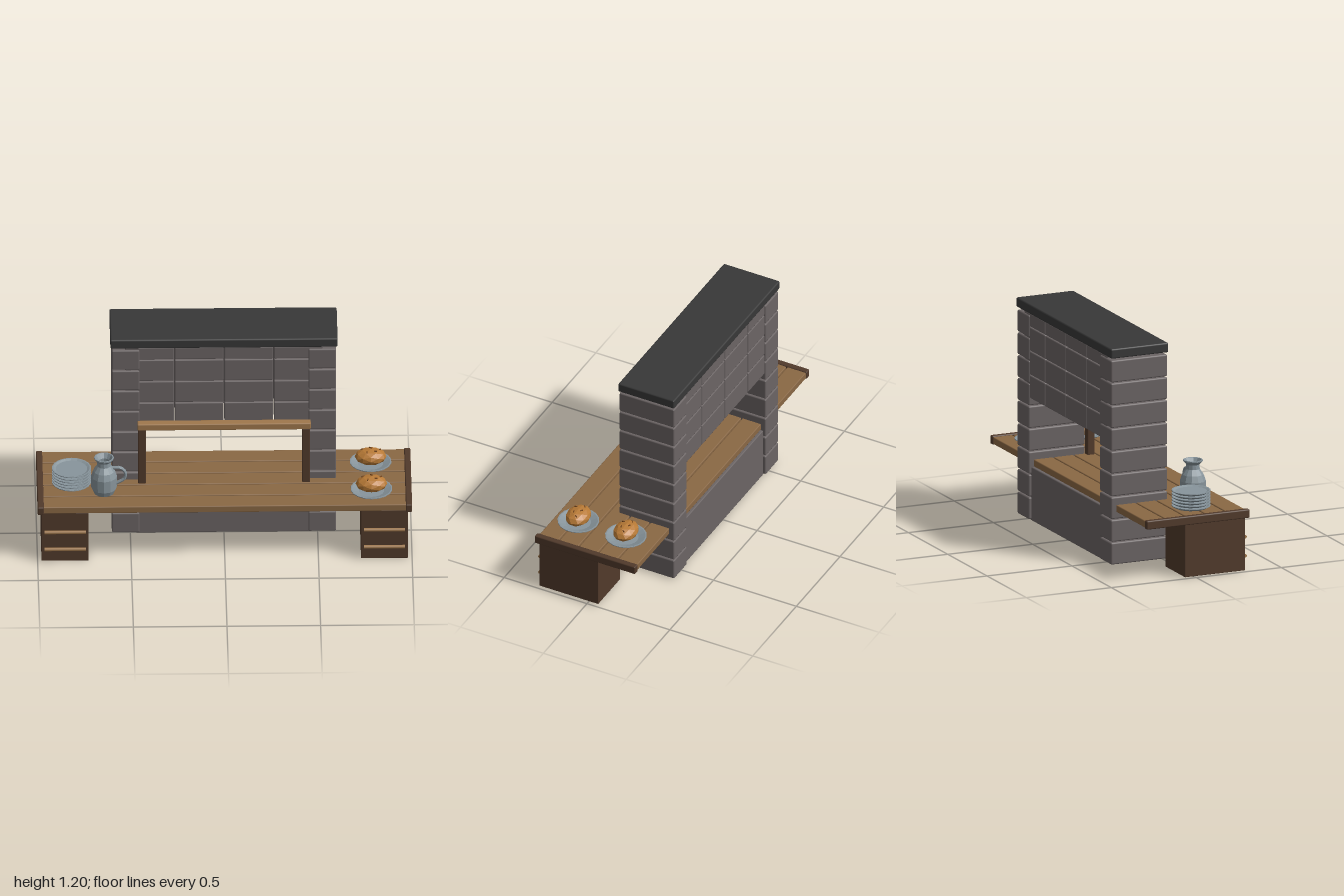
import * as THREE from 'three';
import { RoundedBoxGeometry } from 'three/addons/geometries/RoundedBoxGeometry.js';

const mat = (name, color, extra = {}) => {
  const m = new THREE.MeshStandardMaterial({ color, ...extra });
  m.name = name;
  return m;
};

export function createModel() {
  const stone = mat('grey stone', 0x6b6464);
  const slate = mat('dark slate', 0x383838);
  const plankWood = mat('plank wood', 0x8a6844);
  const beamWood = mat('light beam wood', 0xa0784c);
  const darkWood = mat('dark wood', 0x513a2b);
  const pewter = mat('pewter', 0x88959c, { flatShading: true, side: THREE.DoubleSide });
  const crust = mat('bread crust', 0xb87a36, { flatShading: true });
  const darkCrust = mat('dark crust', 0x7a4a20, { flatShading: true });

  const model = new THREE.Group();
  model.name = 'stoneServingCounter';

  const group = (name) => {
    const g = new THREE.Group();
    g.name = name;
    model.add(g);
    return g;
  };
  const add = (parent, name, geometry, material, x = 0, y = 0, z = 0) => {
    const m = new THREE.Mesh(geometry, material);
    m.name = name;
    m.position.set(x, y, z);
    parent.add(m);
    return m;
  };
  // Box given by its limits, with softened edges
  const block = (parent, name, material, x0, x1, y0, y1, z0, z1, r = 0.006) =>
    add(parent, name, new RoundedBoxGeometry(x1 - x0, y1 - y0, z1 - z0, 1, r), material,
      (x0 + x1) / 2, (y0 + y1) / 2, (z0 + z1) / 2);
  const lathe = (points, sides) =>
    new THREE.LatheGeometry(points.map(([r, y]) => new THREE.Vector2(r, y)), sides);

  // Stone pillars, nine blocks each
  const pillars = group('pillars');
  for (const s of [-1, 1]) {
    for (let i = 0; i < 9; i++) {
      const y = 0.008 + i * 0.1257;
      block(pillars, 'pillarBlock', stone, s * 0.525 - 0.074, s * 0.525 + 0.074, y, y + 0.12, -0.315, 0.017, 0.008);
    }
  }

  // Base, upper brick wall and slate top
  block(model, 'base', stone, -0.47, 0.47, 0, 0.296, -0.298, 0.006);
  const wall = group('upperWall');
  const rows = [0.675, 0.805, 0.937, 1.07, 1.148];
  for (let r = 0; r < 4; r++) {
    for (let c = 0; c < 4; c++) {
      const x = -0.53 + c * 0.265;
      block(wall, 'wallBrick', stone, x + 0.002, x + 0.263, rows[r] + 0.002, rows[r + 1] - 0.002, -0.307, 0.008);
    }
  }
  block(model, 'slateTop', slate, -0.607, 0.607, 1.147, 1.2, -0.318, 0.02, 0.008);

  // Counter planks with open gaps
  const counter = group('counter');
  for (let i = 0; i < 5; i++) {
    const z = -0.288 + i * 0.1192;
    block(counter, 'plank', plankWood, -0.975, 0.975, 0.297, 0.336, z + 0.003, z + 0.1155, 0.005);
  }

  // End rails and drawer cabinets
  for (const s of [-1, 1]) {
    block(counter, 'endRail', darkWood, s * 0.983 - 0.017, s * 0.983 + 0.017, 0.294, 0.342, -0.29, 0.317, 0.007);
    const cabinet = group(s > 0 ? 'leftCabinet' : 'rightCabinet');
    block(cabinet, 'cabinetBody', darkWood, s * 0.853 - 0.126, s * 0.853 + 0.126, 0.002, 0.297, -0.057, 0.298, 0.003);
    for (const y of [0.077, 0.182]) {
      const handle = add(cabinet, 'drawerHandle', new THREE.CylinderGeometry(0.01, 0.01, 0.22, 8),
        beamWood, s * 0.853, y, 0.305);
      handle.rotation.z = Math.PI / 2;
    }
  }

  // Wooden frame around the hatch
  const frame = group('hatchFrame');
  for (const s of [-1, 1]) {
    block(frame, 'framePost', darkWood, s * 0.438 - 0.021, s * 0.438 + 0.021, 0.33, 0.665, 0.017, 0.057, 0.004);
  }
  block(frame, 'frameBeam', beamWood, -0.463, 0.463, 0.662, 0.7, 0.012, 0.06);

  // Stack of plates
  const plates = group('plateStack');
  const stackPlate = lathe([[0, 0], [0.085, 0], [0.105, 0.011], [0.105, 0.015], [0.098, 0.015], [0.085, 0.009], [0, 0.009]], 18);
  for (let i = 0; i < 6; i++) add(plates, 'plate', stackPlate, pewter, -0.815, 0.338 + i * 0.0165, 0.055);

  // Jug with open neck and handle
  const jug = group('jug');
  jug.position.set(-0.643, 0.336, 0.145);
  add(jug, 'jugBody', lathe([[0, 0], [0.055, 0], [0.068, 0.03], [0.07, 0.1], [0.058, 0.135], [0.037, 0.165],
    [0.036, 0.19], [0.053, 0.208], [0.053, 0.215], [0.046, 0.215], [0.03, 0.19], [0.03, 0.165], [0.05, 0.13],
    [0.05, 0.02], [0, 0.02]], 12), pewter);
  const handlePath = new THREE.CatmullRomCurve3([[0.045, 0.15], [0.085, 0.15], [0.112, 0.125], [0.11, 0.085], [0.065, 0.055]]
    .map(([x, y]) => new THREE.Vector3(x, y, 0)));
  add(jug, 'jugHandle', new THREE.TubeGeometry(handlePath, 10, 0.009, 6), pewter);

  // Loaves on plates
  const servingPlate = lathe([[0, 0], [0.07, 0], [0.112, 0.018], [0.112, 0.022], [0.105, 0.022], [0.068, 0.008], [0, 0.008]], 18);
  const loafGeometry = new THREE.IcosahedronGeometry(1, 1).scale(0.085, 0.043, 0.066);
  const flecks = [[-0.045, -0.015], [-0.02, 0.025], [0.0, -0.02], [0.025, 0.015], [0.05, -0.012]];
  for (const z of [-0.122, 0.165]) {
    const serving = group('breadServing');
    serving.position.set(0.785, 0.336, z);
    add(serving, 'servingPlate', servingPlate, pewter);
    add(serving, 'loaf', loafGeometry, crust, 0, 0.052, 0);
    flecks.forEach(([x, dz], i) => {
      const h = 0.043 * Math.sqrt(1 - (x / 0.085) ** 2 - (dz / 0.066) ** 2);
      const fleck = add(serving, 'crustFleck', new THREE.BoxGeometry(0.015, 0.007, 0.005), darkCrust, x, 0.051 + h, dz);
      fleck.rotation.y = 0.6 + i * 0.9;
    });
  }
  return model;
}
